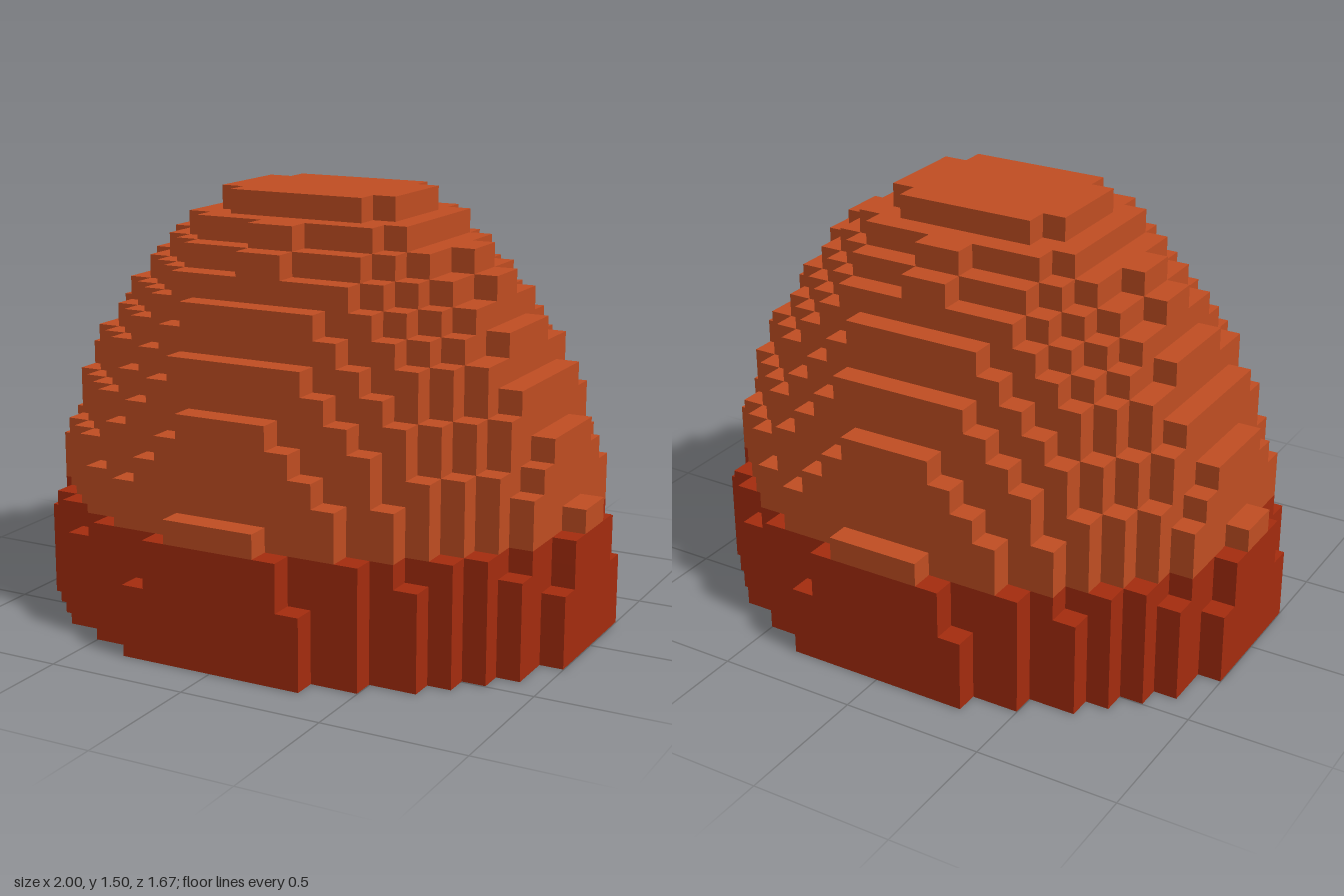
import * as THREE from 'three';
import { mergeGeometries } from 'three/addons/utils/BufferGeometryUtils.js';

const CELL = 1 / 12;
const RX = 12, RY = 18, RZ = 10; // dome radii in cells
const BAND = 5;                  // height of the dark base in cells

const material = (name, color) => {
  const m = new THREE.MeshStandardMaterial({ color });
  m.name = name;
  return m;
};

// Is the cell inside the half ellipsoid?
const filled = (i, j, k) =>
  j >= 0 && ((i + 0.5) / RX) ** 2 + (j / RY) ** 2 + ((k + 0.5) / RZ) ** 2 <= 1;

// One square per cell side: neighbour offset and rotation
const SIDES = [
  [1, 0, 0, 0, Math.PI / 2], [-1, 0, 0, 0, -Math.PI / 2],
  [0, 1, 0, -Math.PI / 2, 0], [0, -1, 0, Math.PI / 2, 0],
  [0, 0, 1, 0, 0], [0, 0, -1, 0, Math.PI],
].map(([x, y, z, rx, ry]) => ({
  x, y, z,
  face: new THREE.PlaneGeometry(CELL, CELL).rotateX(rx).rotateY(ry)
    .translate(x * CELL / 2, y * CELL / 2, z * CELL / 2),
}));

// Exposed cell faces of the layers from j0 up to j1
function voxelLayers(j0, j1) {
  const faces = [];
  for (let j = j0; j < j1; j++)
    for (let i = -RX; i < RX; i++)
      for (let k = -RZ; k < RZ; k++) {
        if (!filled(i, j, k)) continue;
        for (const s of SIDES)
          if (!filled(i + s.x, j + s.y, k + s.z))
            faces.push(s.face.clone().translate((i + 0.5) * CELL, (j + 0.5) * CELL, (k + 0.5) * CELL));
      }
  return mergeGeometries(faces);
}

export function createModel() {
  const group = new THREE.Group();
  const add = (name, geometry, mat) => {
    const mesh = new THREE.Mesh(geometry, mat);
    mesh.name = name;
    group.add(mesh);
    return mesh;
  };

  // Stepped dome in two colours
  add('baseBand', voxelLayers(0, BAND), material('dark red', 0xa52c0e));
  add('dome', voxelLayers(BAND, RY), material('orange', 0xc14e22));

  // Black pads in a ring under the base
  const black = material('black', 0x151515);
  const pad = new THREE.BoxGeometry(0.14, 0.004, 0.14);
  const spots = [[0.66, -0.15], [0.31, -0.45], [-0.28, -0.5], [0.54, 0.28], [-0.59, -0.21], [-0.37, 0.44]];
  for (const [x, z] of spots) add('undersidePad', pad, black).position.set(x, 0, z);

  return group;
}
